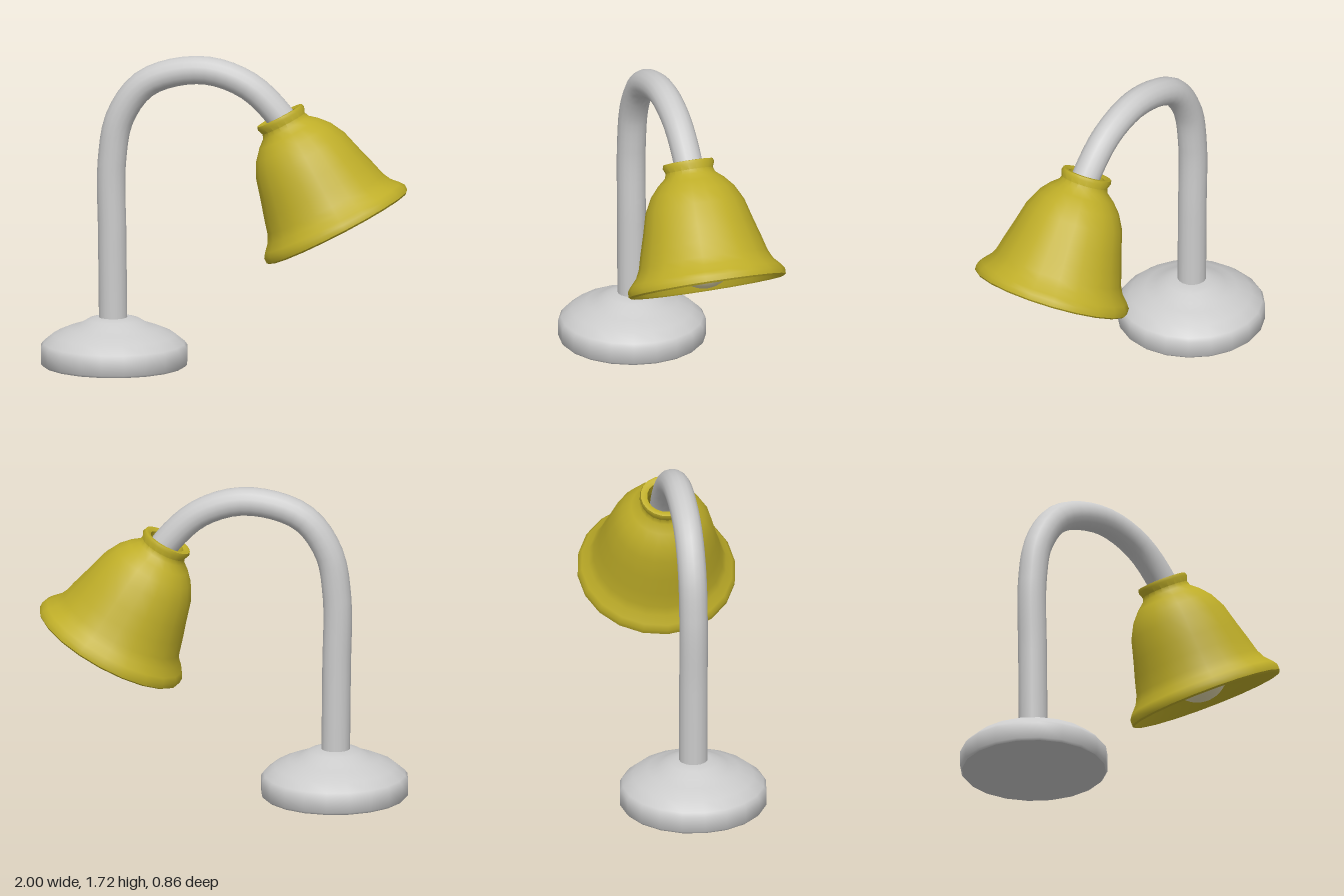
import * as THREE from 'three';
import { toCreasedNormals } from 'three/addons/utils/BufferGeometryUtils.js';

const SIDES = 20;

function part(name, geometry, color = 0xcccccc) {
  const mesh = new THREE.Mesh(geometry, new THREE.MeshStandardMaterial({ color }));
  mesh.name = name;
  return mesh;
}

// Turned shape from [radius, height] pairs, keeping hard edges crisp
function turned(profile) {
  const points = profile.map(([r, y]) => new THREE.Vector2(r, y));
  return toCreasedNormals(new THREE.LatheGeometry(points, SIDES), 0.75);
}

export function createModel() {
  const lamp = new THREE.Group();
  lamp.name = 'deskLamp';

  // Domed foot
  const base = part('base', turned([
    [0, 0], [0.39, 0], [0.4, 0.012], [0.4, 0.1], [0.385, 0.12], [0.33, 0.165],
    [0.25, 0.2], [0.19, 0.22], [0.14, 0.25], [0.09, 0.262], [0, 0.262],
  ]));
  base.position.x = -0.6;
  lamp.add(base);

  // Gooseneck arm, ending inside the shade
  const path = new THREE.CatmullRomCurve3([
    [-0.605, 0.2], [-0.61, 0.7], [-0.612, 1.12], [-0.565, 1.37], [-0.42, 1.56],
    [-0.12, 1.638], [0.13, 1.565], [0.31, 1.4], [0.41, 1.24],
  ].map(([x, y]) => new THREE.Vector3(x, y, 0)));
  lamp.add(part('arm', new THREE.TubeGeometry(path, 40, 0.078, 16)));

  // Cap on the arm's inner end
  const cap = part('armEnd', new THREE.CircleGeometry(0.078, 16));
  cap.position.copy(path.getPoint(1));
  cap.lookAt(cap.position.clone().add(path.getTangent(1)));
  lamp.add(cap);

  // Bell shade: inside downwards, round the lip, outside upwards
  const shade = part('shade', turned([
    [0.1, -0.005], [0.1, -0.07], [0.16, -0.115], [0.215, -0.19], [0.26, -0.3],
    [0.295, -0.42], [0.325, -0.54], [0.35, -0.58], [0.395, -0.635], [0.41, -0.675],
    [0.42, -0.684], [0.43, -0.675], [0.43, -0.645], [0.412, -0.62], [0.375, -0.58],
    [0.353, -0.535], [0.33, -0.45], [0.303, -0.36], [0.27, -0.24], [0.228, -0.16],
    [0.18, -0.105], [0.138, -0.07], [0.129, -0.045], [0.141, -0.015], [0.136, 0.003],
    [0.12, 0.005], [0.1, -0.005],
  ]), 0xbfae28);
  shade.position.set(0.31, 1.4, 0);
  shade.rotation.z = 0.484;
  lamp.add(shade);

  // Bulb and the thin rod it hangs from
  const bulb = part('bulb', new THREE.SphereGeometry(0.165, 24, 16), 0xe6dcae);
  bulb.position.set(0.56, 0.938, 0);
  lamp.add(bulb);
  const rod = part('bulbRod', new THREE.CylinderGeometry(0.02, 0.02, 0.26, 12));
  rod.position.set(0.56, 1.2, 0);
  lamp.add(rod);

  return lamp;
}
